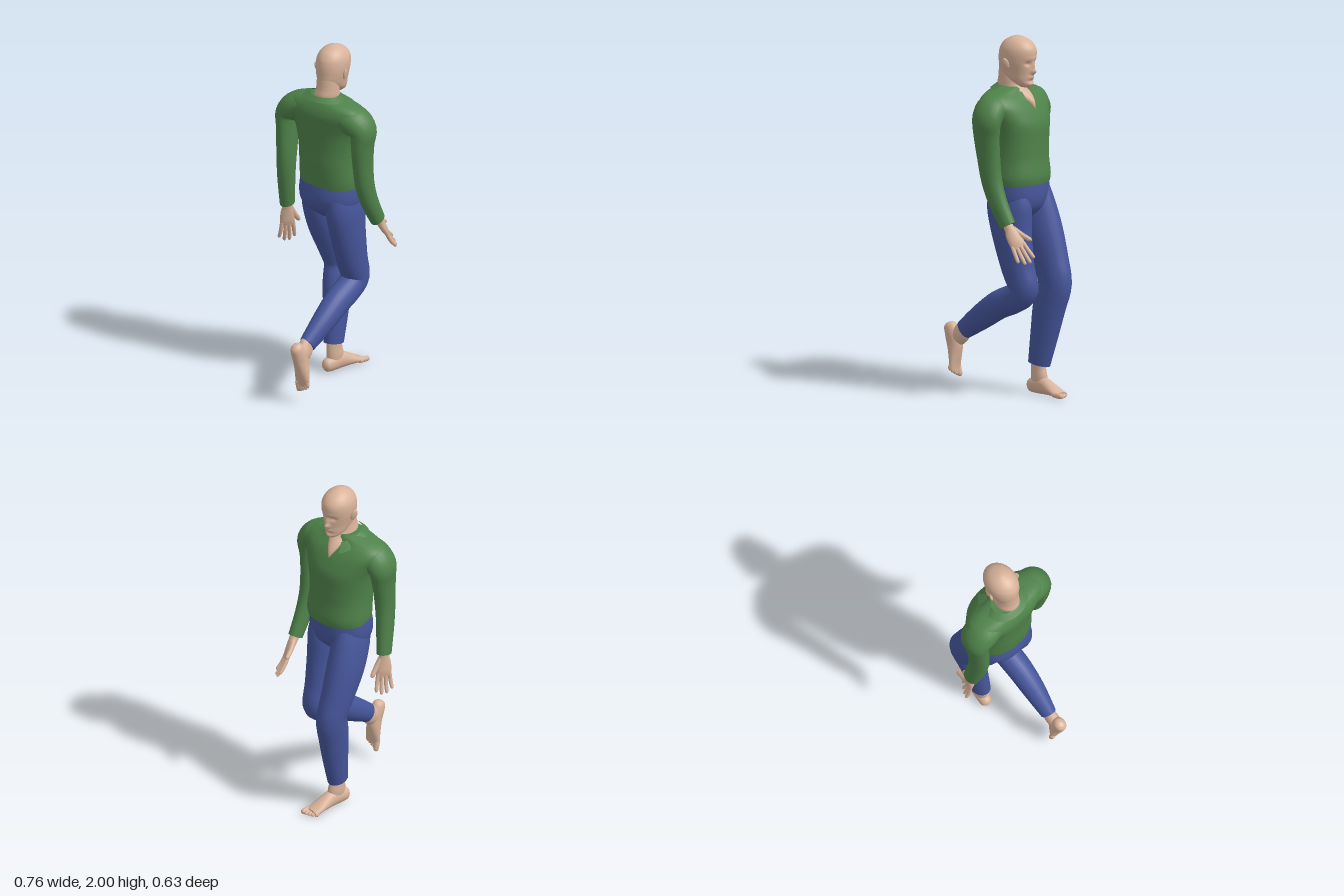
import * as THREE from 'three';

const skin = new THREE.MeshStandardMaterial({ color: 0xd9b39a });
skin.name = 'skin';
const green = new THREE.MeshStandardMaterial({ color: 0x4f824a, side: THREE.DoubleSide });
green.name = 'green cloth';
const blue = new THREE.MeshStandardMaterial({ color: 0x46569c });
blue.name = 'blue cloth';

const spline = (a, b, c, d, t) =>
  0.5 * (2 * b + (c - a) * t + (2 * a - 5 * b + 4 * c - d) * t * t + (3 * b - a - 3 * c + d) * t * t * t);

// Skin over elliptical sections [x, y, z, radius in side view, radius across].
// level keeps sections horizontal, pow < 1 squares them, warp moves points.
function loft(name, mat, keys, { level = false, pow = 1, seg = 24, sub = 4, warp } = {}) {
  const rings = [];
  const at = (i) => keys[Math.min(Math.max(i, 0), keys.length - 1)];
  for (let i = 0; i < keys.length - 1; i++)
    for (let k = 0; k < sub; k++)
      rings.push(keys[i].map((_, c) => spline(at(i - 1)[c], at(i)[c], at(i + 1)[c], at(i + 2)[c], k / sub)));
  rings.push(keys[keys.length - 1]);

  const pos = [], idx = [];
  const centre = (i) => new THREE.Vector3(...rings[Math.min(Math.max(i, 0), rings.length - 1)].slice(0, 3));
  const squash = (v) => Math.sign(v) * Math.abs(v) ** pow;
  rings.forEach((r, i) => {
    const t = level ? new THREE.Vector3(0, 1, 0) : centre(i + 1).sub(centre(i - 1)).normalize();
    const n = new THREE.Vector3(t.y, -t.x, 0).normalize();
    const b = n.clone().cross(t);
    for (let j = 0; j < seg; j++) {
      const a = (j / seg) * Math.PI * 2;
      const p = centre(i)
        .addScaledVector(n, r[3] * squash(Math.cos(a)))
        .addScaledVector(b, r[4] * squash(Math.sin(a)));
      if (warp) warp(p);
      pos.push(p.x, p.y, p.z);
    }
  });
  for (let i = 0; i < rings.length - 1; i++)
    for (let j = 0; j < seg; j++) {
      const a = i * seg + j, b = i * seg + ((j + 1) % seg);
      idx.push(a, a + seg, b + seg, a, b + seg, b);
    }
  // End caps on their own vertices
  for (const end of [0, rings.length - 1]) {
    const base = pos.length / 3;
    pos.push(...pos.slice(end * seg * 3, (end + 1) * seg * 3), ...rings[end].slice(0, 3));
    for (let j = 0; j < seg; j++) {
      const a = base + j, b = base + ((j + 1) % seg);
      idx.push(base + seg, ...(end ? [b, a] : [a, b]));
    }
  }
  const g = new THREE.BufferGeometry();
  g.setAttribute('position', new THREE.Float32BufferAttribute(pos, 3));
  g.setIndex(idx);
  g.computeVertexNormals();
  const mesh = new THREE.Mesh(g, mat);
  mesh.name = name;
  return mesh;
}

// Face relief: [y, z, height, width, depth]
const HEAD_Z = 0.013;
const relief = [
  [1.807, 0, 0.016, 0.013, 0.026], [1.838, 0, 0.02, 0.01, 0.014],
  [1.853, 0.032, 0.012, 0.016, -0.012], [1.853, -0.032, 0.012, 0.016, -0.012],
  [1.882, 0, 0.01, 0.05, 0.004], [1.775, 0, 0.008, 0.022, 0.008],
  [1.754, 0, 0.007, 0.025, -0.006], [1.733, 0, 0.012, 0.022, 0.005],
];
function shapeFace(p) {
  if (p.x < 0.08) return;
  const fade = Math.min(1, (p.x - 0.08) / 0.04);
  let dx = 0;
  for (const [y, z, sy, sz, d] of relief)
    dx += d * Math.exp(-(((p.y - y) / sy) ** 2) - ((p.z - HEAD_Z - z) / sz) ** 2);
  p.x += dx * fade;
}

function makeHead() {
  const g = new THREE.Group();
  g.name = 'head';
  // [y, back, front, half width]
  const profile = [
    [1.718, 0.09, 0.148, 0.022], [1.735, 0.06, 0.163, 0.042], [1.76, 0.01, 0.165, 0.058],
    [1.79, -0.032, 0.167, 0.068], [1.82, -0.042, 0.17, 0.076], [1.85, -0.043, 0.174, 0.083],
    [1.88, -0.043, 0.178, 0.087], [1.91, -0.04, 0.182, 0.087], [1.94, -0.031, 0.175, 0.081],
    [1.97, -0.008, 0.15, 0.063], [1.99, 0.027, 0.113, 0.037], [2.0, 0.06, 0.08, 0.01],
  ];
  g.add(loft('skull and face', skin,
    profile.map(([y, b, f, w]) => [(b + f) / 2, y, HEAD_Z, (f - b) / 2, w]),
    { level: true, seg: 72, sub: 5, warp: shapeFace }));
  for (const s of [-1, 1]) {
    const ear = new THREE.Mesh(new THREE.SphereGeometry(1, 16, 12), skin);
    ear.name = 'ear';
    ear.scale.set(0.02, 0.034, 0.009);
    ear.position.set(0.052, 1.852, HEAD_Z + s * 0.091);
    ear.rotation.set(s * 0.2, s * 0.4, 0.15);
    g.add(ear);
  }
  // Neck narrows into the V of the open collar
  g.add(loft('neck', skin, [
    [0.135, 1.6, 0, 0.044, 0.006], [0.105, 1.64, 0, 0.066, 0.036], [0.06, 1.68, 0.002, 0.08, 0.062],
    [0.02, 1.72, 0.008, 0.076, 0.066], [0.02, 1.77, HEAD_Z, 0.068, 0.062], [0.018, 1.84, HEAD_Z, 0.06, 0.06],
  ], { level: true }));
  return g;
}

// Two mirrored collar flaps, open at the front
function makeCollar() {
  const g = new THREE.Group();
  g.name = 'collar';
  for (const s of [-1, 1]) {
    const pos = [], idx = [], n = 12;
    for (let k = 0; k <= n; k++) {
      const a = 0.5 + (k / n) * (Math.PI - 0.5), c = Math.cos(a), f = Math.max(0, c);
      pos.push(0.02 + (c > 0 ? 0.115 : 0.08) * c, 1.728 - 0.04 * f, s * 0.09 * Math.sin(a));
      pos.push(0.02 + (c > 0 ? 0.172 : 0.108) * c, 1.705 - 0.062 * f, s * 0.135 * Math.sin(a));
      if (k) { const i = 2 * k; idx.push(i - 2, i - 1, i + 1, i - 2, i + 1, i); }
    }
    if (s > 0) idx.reverse();
    const geo = new THREE.BufferGeometry();
    geo.setAttribute('position', new THREE.Float32BufferAttribute(pos, 3));
    geo.setIndex(idx);
    geo.computeVertexNormals();
    const flap = new THREE.Mesh(geo, green);
    flap.name = 'collar flap';
    g.add(flap);
  }
  return g;
}

// Hand hangs along -y, thumb toward -z; flip mirrors it
function makeHand(name, place, [rx, ry, rz], flip) {
  const g = new THREE.Group();
  g.name = name;
  g.add(loft('palm', skin, [
    [0, 0.05, 0, 0.03, 0.029], [0, -0.02, 0, 0.025, 0.029], [0, -0.06, 0, 0.022, 0.04],
    [0, -0.11, 0, 0.018, 0.043], [0, -0.142, 0, 0.01, 0.039],
  ], { seg: 16 }));
  const digit = (label, [x, y, z], [u, v, w], r) => g.add(loft(label, skin, [
    [x, y, z, r, r], [(x + u) / 2 - 0.004, (y + v) / 2, (z + w) / 2, r, r],
    [u, v + 0.008, w, r * 0.85, r * 0.85], [u, v, w, r * 0.3, r * 0.3],
  ], { seg: 10, sub: 3 }));
  [0.095, 0.112, 0.108, 0.085].forEach((len, i) => {
    const z = -0.032 + 0.0213 * i;
    digit('finger', [0, -0.12, z], [0.01, -0.135 - len, z * 1.4], 0.011);
  });
  digit('thumb', [0, -0.03, -0.02], [0.014, -0.135, -0.07], 0.0145);
  g.position.set(...place);
  g.rotation.set(rx, ry, rz, 'XZY');
  g.scale.z = flip;
  return g;
}

// Foot points along +x with its sole on y = 0; big toe on the inner side,
// lean tips the ankle back toward the shin
function makeFoot(name, place, ry, rz, inner, lean) {
  const g = new THREE.Group();
  g.name = name;
  g.add(loft('sole and instep', skin, [
    [-0.077, 0.036, 0, 0.014, 0.012], [-0.062, 0.039, 0, 0.036, 0.03], [-0.02, 0.047, 0, 0.046, 0.037],
    [0.04, 0.05, 0, 0.049, 0.038], [0.1, 0.037, 0, 0.035, 0.043], [0.15, 0.024, 0, 0.022, 0.046],
    [0.183, 0.018, 0, 0.014, 0.042],
  ]));
  g.add(loft('ankle', skin, [
    [0.01, 0.03, 0, 0.054, 0.03], [0.005, 0.09, 0, 0.055, 0.036],
    [-0.6 * lean, 0.135, 0, 0.05, 0.034], [-lean, 0.175, 0, 0.045, 0.034],
  ]));
  for (let i = 0; i < 5; i++) {
    const z = inner * (0.032 - i * 0.017), r = i ? 0.01 : 0.015, tip = 0.224 - i * 0.008 - (i === 4 ? 0.006 : 0);
    g.add(loft('toe', skin, [
      [0.155, 0.018, z, r, r], [tip - 0.012, r + 0.001, z * 1.05, r, r], [tip, r, z * 1.05, r * 0.4, r * 0.4],
    ], { seg: 10, sub: 3 }));
  }
  g.position.set(...place);
  g.rotation.set(0, ry, rz, 'ZYX');
  return g;
}

export function createModel() {
  const model = new THREE.Group();
  model.name = 'walking figure';
  model.add(makeHead(), makeCollar());

  // Pullover body
  model.add(loft('pullover body', green, [
    [0.075, 1.185, 0.004, 0.148, 0.18], [0.075, 1.23, 0.004, 0.154, 0.184], [0.066, 1.32, 0.002, 0.153, 0.178],
    [0.064, 1.42, 0, 0.152, 0.182], [0.06, 1.51, 0, 0.154, 0.197], [0.046, 1.575, 0, 0.145, 0.225],
    [0.032, 1.625, 0, 0.132, 0.25], [0.022, 1.662, 0, 0.113, 0.242], [0.016, 1.687, 0, 0.095, 0.2],
    [0.017, 1.707, 0, 0.083, 0.13], [0.02, 1.72, 0, 0.07, 0.085],
  ], { level: true, pow: 0.88, seg: 48 }));
  // Sleeves run out from the chest, over the shoulder and down
  model.add(loft('right sleeve', green, [
    [0.022, 1.62, 0.12, 0.1, 0.07], [0.022, 1.603, 0.195, 0.098, 0.082], [0.028, 1.555, 0.246, 0.088, 0.068],
    [0.025, 1.47, 0.245, 0.079, 0.056], [0.035, 1.35, 0.24, 0.07, 0.05], [0.055, 1.22, 0.238, 0.062, 0.048],
    [0.1, 1.1, 0.24, 0.055, 0.043], [0.167, 0.98, 0.242, 0.047, 0.038],
  ]));
  model.add(loft('left sleeve', green, [
    [0.012, 1.62, -0.115, 0.1, 0.07], [0.008, 1.603, -0.19, 0.1, 0.082], [0.007, 1.555, -0.241, 0.094, 0.066],
    [-0.004, 1.47, -0.242, 0.082, 0.055], [-0.02, 1.32, -0.238, 0.068, 0.05], [-0.014, 1.18, -0.245, 0.058, 0.046],
    [0.016, 1.0, -0.26, 0.048, 0.038],
  ]));
  model.add(makeHand('right hand', [0.167, 0.985, 0.245], [-0.02, -0.75, 0.6], 1));
  model.add(makeHand('left hand', [0.012, 1.0, -0.258], [0.08, 1.0, 0.12], -1));

  // Trousers
  model.add(loft('trouser seat', blue, [
    [0.075, 0.99, 0, 0.07, 0.09], [0.07, 1.05, 0, 0.132, 0.16], [0.067, 1.12, 0, 0.152, 0.18],
    [0.072, 1.21, 0, 0.144, 0.176],
  ], { level: true, pow: 0.9, seg: 36 }));
  model.add(loft('right trouser leg', blue, [
    [0.06, 1.16, 0.09, 0.12, 0.07], [0.07, 1.05, 0.092, 0.138, 0.088], [0.09, 0.9, 0.095, 0.12, 0.086],
    [0.13, 0.72, 0.095, 0.098, 0.079], [0.165, 0.6, 0.092, 0.085, 0.076], [0.1, 0.545, 0.09, 0.082, 0.074],
    [0, 0.5, 0.088, 0.08, 0.071], [-0.12, 0.42, 0.082, 0.072, 0.062], [-0.25, 0.33, 0.069, 0.054, 0.043],
  ]));
  model.add(loft('left trouser leg', blue, [
    [0.07, 1.16, -0.09, 0.12, 0.07], [0.1, 1.05, -0.095, 0.13, 0.088], [0.155, 0.9, -0.098, 0.125, 0.093],
    [0.217, 0.74, -0.092, 0.108, 0.082], [0.253, 0.62, -0.082, 0.1, 0.075], [0.224, 0.5, -0.072, 0.1, 0.071],
    [0.195, 0.33, -0.062, 0.084, 0.061], [0.165, 0.165, -0.055, 0.066, 0.051],
  ]));
  model.add(makeFoot('right foot', [-0.37, 0.275, 0.07], -0.06, -1.29, -1, 0.04));
  model.add(makeFoot('left foot', [0.165, 0, -0.05], -0.2, 0, 1, 0));
  return model;
}
